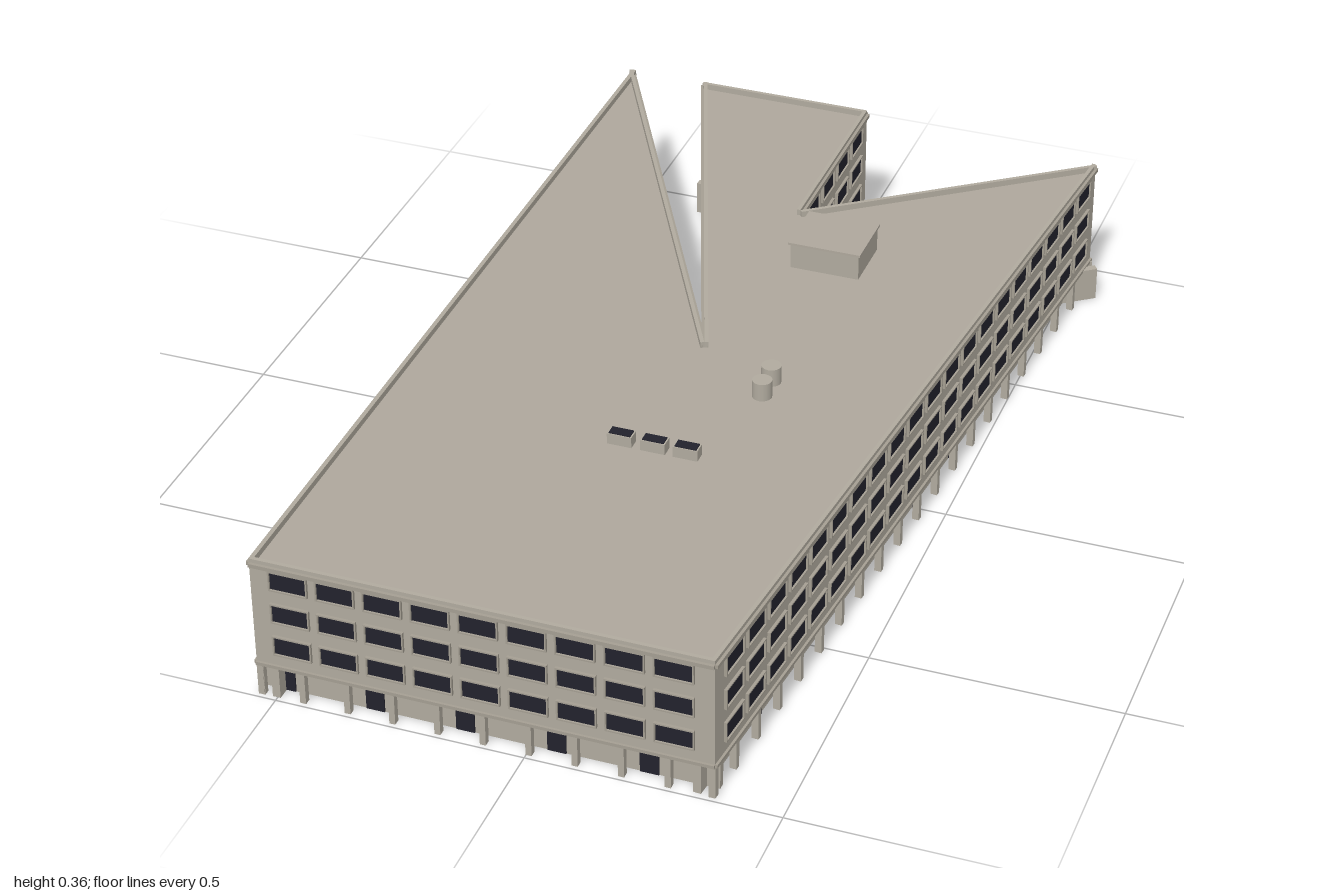
import * as THREE from 'three';
import { mergeGeometries } from 'three/addons/utils/BufferGeometryUtils.js';

const material = (name, color) => {
  const m = new THREE.MeshStandardMaterial({ color });
  m.name = name;
  return m;
};

// Footprint corners (x, z), running from the front edge round the right wing
const footprint = [
  [-0.538, 0.99], [0.367, 0.99], [0.542, -0.925], [0.01, -0.53],
  [0.01, -0.983], [-0.37, -0.983], [-0.005, 0.02], [-0.538, -0.983],
];
// Recessed ground storey, blunted at the narrow slit
const groundPlan = [
  [-0.5, 0.952], [0.332, 0.952], [0.495, -0.84], [-0.028, -0.455],
  [-0.028, -0.945], [-0.32, -0.945], [0.033, 0.01], [0, 0.06],
  [-0.045, 0.02], [-0.5, -0.84],
];

function prism(points, y0, y1) {
  const shape = new THREE.Shape(points.map(([x, z]) => new THREE.Vector2(x, -z)));
  const g = new THREE.ExtrudeGeometry(shape, { depth: y1 - y0, bevelEnabled: false });
  return g.rotateX(-Math.PI / 2).translate(0, y0, 0);
}

const box = (w, h, d, x, y, z) => new THREE.BoxGeometry(w, h, d).translate(x, y, z);

export function createModel() {
  const wall = material('concrete', 0xb0aa9e);
  const trim = material('trim', 0xa49e92);
  const roof = material('roofing', 0xaea79c);
  const glass = material('darkGlass', 0x22222c);

  const model = new THREE.Group();
  model.name = 'officeBuilding';
  const add = (parent, name, geometry, mat) => {
    const mesh = new THREE.Mesh(Array.isArray(geometry) ? mergeGeometries(geometry) : geometry, mat);
    mesh.name = name;
    parent.add(mesh);
    return mesh;
  };

  add(model, 'upperStoreys', prism(footprint, 0.072, 0.294), wall);
  add(model, 'roofDeck', prism(footprint, 0.294, 0.297), roof);
  add(model, 'groundStorey', prism(groundPlan, 0.001, 0.072), wall);

  // One facade per footprint edge: local x along the wall, local z outward
  footprint.forEach(([x0, z0], i) => {
    const [x1, z1] = footprint[(i + 1) % footprint.length];
    const length = Math.hypot(x1 - x0, z1 - z0);
    const facade = new THREE.Group();
    facade.name = 'facade' + (i + 1);
    facade.position.set((x0 + x1) / 2, 0, (z0 + z1) / 2);
    facade.rotation.y = Math.atan2(z0 - z1, x1 - x0);
    model.add(facade);

    // Parapet, cornice and the band above the ground storey
    add(facade, 'parapet', box(length, 0.016, 0.008, 0, 0.302, -0.004), wall);
    add(facade, 'ledges', [
      box(length, 0.008, 0.012, 0, 0.298, 0),
      box(length, 0.007, 0.01, 0, 0.0735, 0),
    ], trim);

    // Three rows of framed windows
    const frames = [], panes = [];
    const count = Math.floor((length - 0.06) / 0.09);
    const step = (length - 0.06) / count;
    for (const y of [0.124, 0.198, 0.272]) {
      for (let k = 0; k < count; k++) {
        const x = (k - (count - 1) / 2) * step;
        for (const s of [-1, 1]) {
          frames.push(box(0.078, 0.003, 0.012, x, y + s * 0.0205, 0));
          frames.push(box(0.003, 0.038, 0.012, x + s * 0.0375, y, 0));
        }
        panes.push(box(0.072, 0.038, 0.004, x, y, 0));
      }
    }
    add(facade, 'windowFrames', frames, trim);
    add(facade, 'windowPanes', panes, glass);

    // Recessed ground wall with columns in front and a door in alternate bays
    add(facade, 'groundWall', box(length, 0.074, 0.016, 0, 0.037, -0.036), wall);
    const columns = [], doors = [];
    const bays = Math.round(length / 0.095);
    const bay = length / bays;
    for (let k = 0; k <= bays; k++) {
      const x = THREE.MathUtils.clamp((k - bays / 2) * bay, -length / 2 + 0.006, length / 2 - 0.006);
      columns.push(box(0.012, 0.074, 0.014, x, 0.037, -0.006));
      if (k < bays && k % 2 === 0 && k < 14) {
        doors.push(box(0.037, 0.052, 0.004, (k + 0.5 - bays / 2) * bay, 0.027, -0.027));
      }
    }
    add(facade, 'columns', columns, wall);
    add(facade, 'doors', doors, glass);
  });

  // Rooftop plant room
  add(model, 'plantRoom', box(0.146, 0.056, 0.126, 0.13, 0.324, -0.39), wall);
  add(model, 'plantRoomCap', box(0.154, 0.005, 0.134, 0.13, 0.3545, -0.39), roof);

  // Rooftop tanks
  for (const z of [0.09, 0.145]) {
    const tank = new THREE.CylinderGeometry(0.02, 0.02, 0.04, 16).translate(0.16, 0.315, z);
    add(model, 'tank', tank, wall);
  }

  // Rooftop cooling units with dark grilles on top
  for (const x of [-0.04, 0.028, 0.094]) {
    add(model, 'coolingUnit', box(0.05, 0.024, 0.026, x, 0.308, 0.388), wall);
    add(model, 'coolingGrille', box(0.044, 0.003, 0.022, x, 0.3205, 0.388), glass);
  }

  return model;
}
